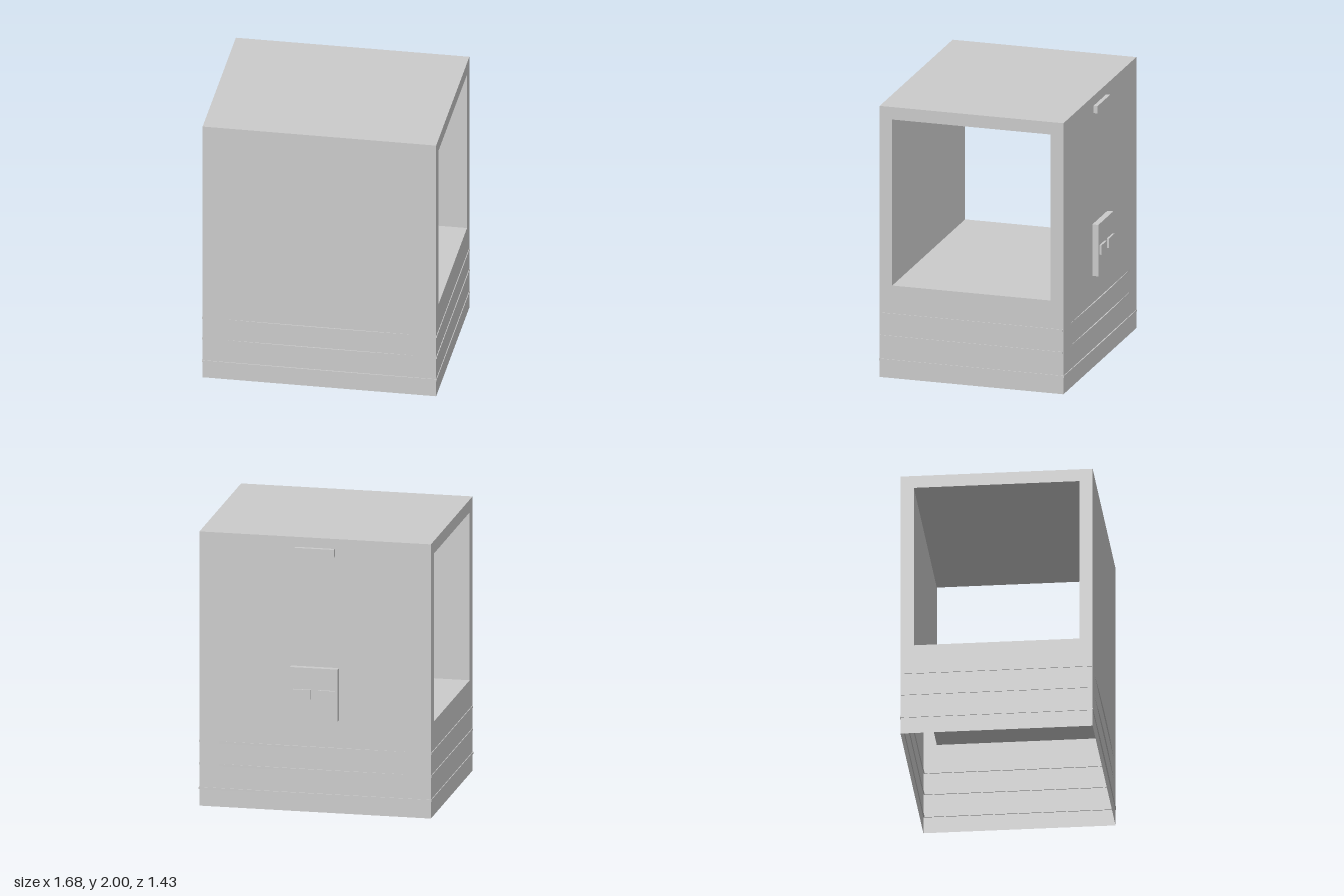
import * as THREE from 'three';

const W = 0.836, H = 2, ZF = 0.706, ZB = -0.656;           // outer shell
const OF = 0.613, OB = -0.561, OY0 = 0.683, OY1 = 1.908;   // side opening

export function createModel() {
  const model = new THREE.Group();
  const material = new THREE.MeshStandardMaterial({ color: 0xcccccc, side: THREE.DoubleSide });

  const add = (name, geometry, x = 0, y = 0, z = 0, parent = model) => {
    const mesh = new THREE.Mesh(geometry, material);
    mesh.name = name;
    mesh.position.set(x, y, z);
    parent.add(mesh);
    return mesh;
  };
  const box = (name, w, h, d, x, y, z) => add(name, new THREE.BoxGeometry(w, h, d), x, y, z);
  const wall = (name, w, h, y, z, back) => {
    const g = new THREE.PlaneGeometry(w, h);
    if (back) g.rotateY(Math.PI);
    return add(name, g, 0, y, z);
  };
  // Horizontal sheet facing up (dir 1) or down (dir -1)
  const deck = (name, zb, zf, y, dir) => add(name,
    new THREE.PlaneGeometry(2 * W, zf - zb).rotateX(-dir * Math.PI / 2), 0, y, (zf + zb) / 2);

  // Outer shell, open underneath
  wall('frontWall', 2 * W, H, H / 2, ZF, false);
  wall('backWall', 2 * W, H, H / 2, ZB, true);
  deck('roof', ZB, ZF, H, 1);

  // Side walls with a large rectangular opening
  const rect = (Type, a0, a1, b0, b1) => new Type([
    new THREE.Vector2(a0, b0), new THREE.Vector2(a1, b0),
    new THREE.Vector2(a1, b1), new THREE.Vector2(a0, b1)]);
  for (const s of [1, -1]) {
    const ends = s > 0 ? [-ZF, -ZB] : [ZB, ZF];
    const hole = s > 0 ? [-OF, -OB] : [OB, OF];
    const side = rect(THREE.Shape, ...ends, 0, H);
    side.holes.push(rect(THREE.Path, ...hole, OY0, OY1));
    add(s > 0 ? 'leftWall' : 'rightWall',
      new THREE.ShapeGeometry(side).rotateY(s * Math.PI / 2), s * W);
  }

  // Lining of the passage between both openings
  deck('passageFloor', OB, OF, OY0, 1);
  deck('passageCeiling', OB, OF, OY1, -1);
  wall('passageFrontLining', 2 * W, OY1 - OY0, (OY0 + OY1) / 2, OF, true);
  wall('passageBackLining', 2 * W, OY1 - OY0, (OY0 + OY1) / 2, OB, false);

  // Slightly bowed trim bands that show outside and inside the base
  const band = (y, corner) => {
    const x = W + 0.005, peak = 0.009;
    const ctrl = 2 * peak - corner;
    const s = new THREE.Shape();
    s.moveTo(-x, -(ZF + corner));
    s.quadraticCurveTo(0, -(ZF + ctrl), x, -(ZF + corner));
    s.lineTo(x, -(ZB - corner));
    s.quadraticCurveTo(0, -(ZB - ctrl), -x, -(ZB - corner));
    s.closePath();
    s.holes.push(rect(THREE.Path, -W + 0.007, W - 0.007, -ZF + 0.007, -ZB - 0.007));
    const g = new THREE.ExtrudeGeometry(s, { depth: 0.015, bevelEnabled: false, curveSegments: 7 });
    add('trimBand', g.rotateX(-Math.PI / 2), 0, y);
  };
  band(0.122, 0.004);
  band(0.297, -0.004);
  band(0.462, -0.004);

  // Fittings on the back
  box('backLamp', 0.285, 0.055, 0.032, 0, 1.9, ZB - 0.014);
  box('backPanel', 0.345, 0.38, 0.044, 0, 0.87, ZB - 0.022);
  for (const x of [-0.092, 0.083]) box('panelButton', 0.125, 0.07, 0.03, x, 0.868, ZB - 0.044);

  return model;
}
